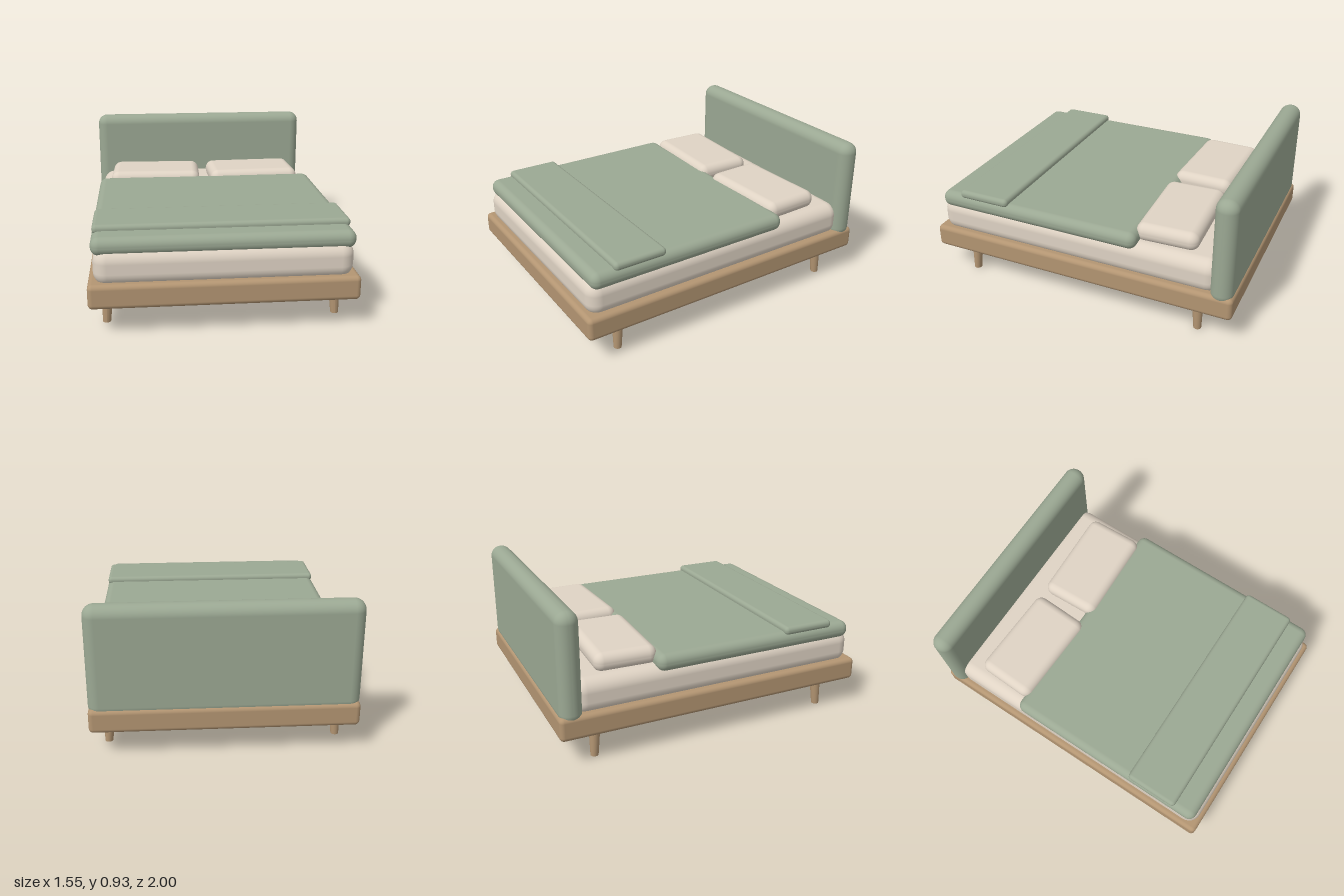
import * as THREE from 'three';
import { RoundedBoxGeometry } from 'three/addons/geometries/RoundedBoxGeometry.js';

const material = (name, color) => {
  const m = new THREE.MeshStandardMaterial({ color });
  m.name = name;
  return m;
};

export function createModel() {
  const wood = material('oak wood', 0xb39572);
  const green = material('sage fabric', 0x9ba893);
  const cream = material('cream linen', 0xdfd3c4);

  const bed = new THREE.Group();
  bed.name = 'bed';

  // Rounded block given by its [min, max] extents on each axis
  const block = (name, mat, [x0, x1], [y0, y1], [z0, z1], radius) => {
    const geometry = new RoundedBoxGeometry(x1 - x0, y1 - y0, z1 - z0, 4, radius);
    const mesh = new THREE.Mesh(geometry, mat);
    mesh.name = name;
    mesh.position.set((x0 + x1) / 2, (y0 + y1) / 2, (z0 + z1) / 2);
    bed.add(mesh);
    return mesh;
  };

  // Wooden base and upholstered headboard
  block('frame', wood, [-0.775, 0.775], [0.17, 0.315], [-1, 1], 0.028);
  block('headboard', green, [-0.777, 0.777], [0.26, 0.927], [-0.99, -0.853], 0.066);

  // Bedding
  block('mattress', cream, [-0.744, 0.744], [0.285, 0.503], [-0.9, 0.97], 0.08);
  block('duvet', green, [-0.753, 0.753], [0.462, 0.57], [-0.39, 0.952], 0.05);
  block('foldedThrow', green, [-0.748, 0.748], [0.548, 0.602], [0.47, 0.81], 0.025);

  for (const side of [-1, 1]) {
    const name = side > 0 ? 'left' : 'right';

    // Pillows, turned slightly towards each other
    const pillow = block(name + 'Pillow', cream, [-0.316, 0.316], [0.487, 0.605], [-0.732, -0.345], 0.055);
    pillow.position.x = side * 0.351;
    pillow.rotation.y = side * 0.038;

    // Tapered legs, leaning outwards a little
    for (const end of [-1, 1]) {
      const geometry = new THREE.CylinderGeometry(0.035, 0.024, 0.19, 16);
      const p = geometry.attributes.position;
      for (let i = 0; i < p.count; i++) {
        const drop = 0.095 - p.getY(i);
        p.setX(i, p.getX(i) + side * drop * 0.05);
        p.setZ(i, p.getZ(i) + end * drop * 0.05);
      }
      geometry.computeVertexNormals();
      const leg = new THREE.Mesh(geometry, wood);
      leg.name = name + (end > 0 ? 'FrontLeg' : 'BackLeg');
      leg.position.set(side * 0.673, 0.095, end * 0.768);
      bed.add(leg);
    }
  }
  return bed;
}
